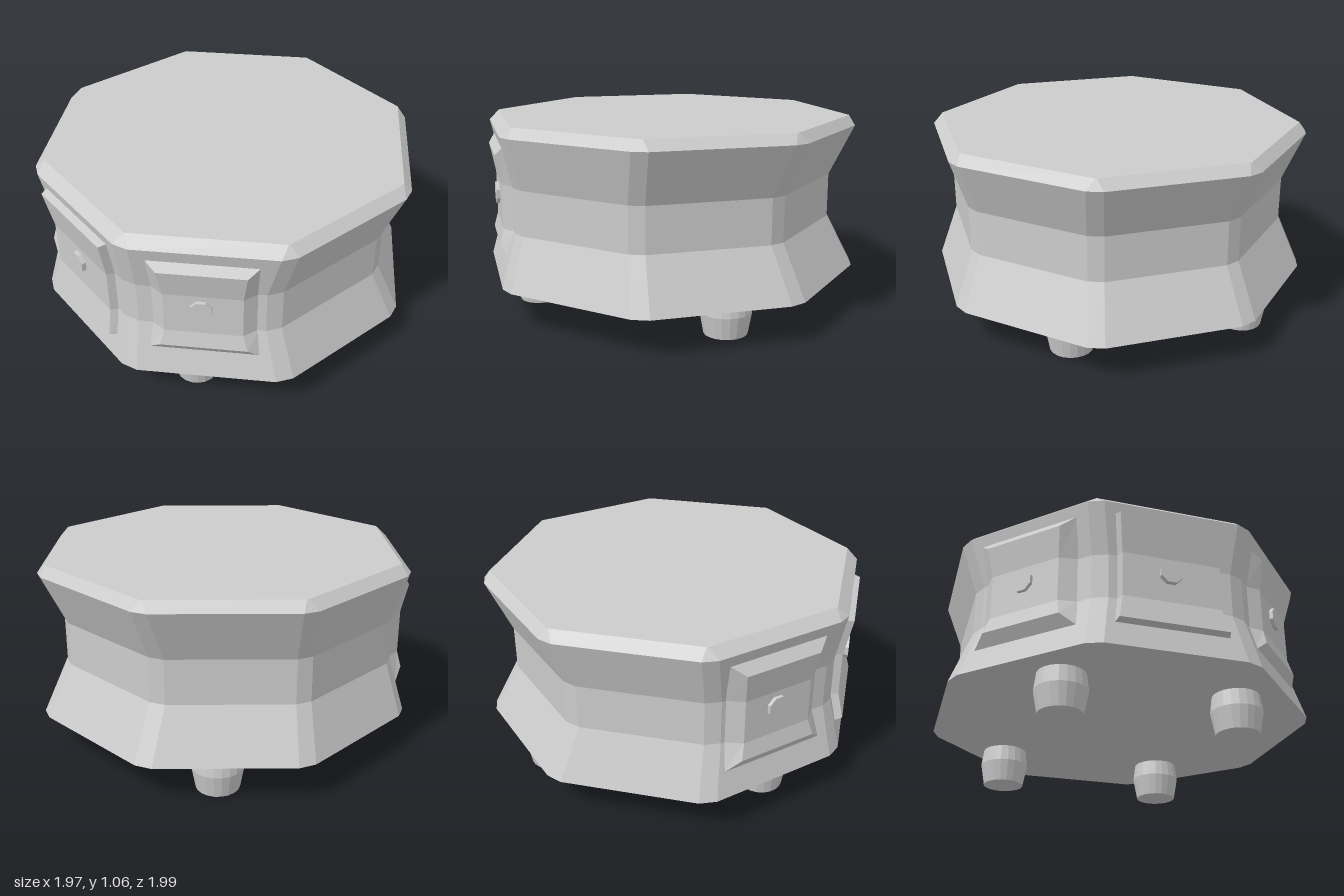
import * as THREE from 'three';

const material = new THREE.MeshStandardMaterial({ color: 0xcccccc, flatShading: true });

function faceted(points, index) {
  const indexed = new THREE.BufferGeometry();
  indexed.setAttribute('position', new THREE.Float32BufferAttribute(points.flat(), 3));
  indexed.setIndex(index);
  const geometry = indexed.toNonIndexed();
  geometry.computeVertexNormals();
  return geometry;
}

function addMesh(parent, name, geometry) {
  const mesh = new THREE.Mesh(geometry, material);
  mesh.name = name;
  parent.add(mesh);
  return mesh;
}

const quad = (a, b, c, d) => [a, b, c, a, c, d];

// Octagon with cut corners: two points per corner, starting at the front face
function octagonRing({ y, apothem, z, cut }) {
  const half = apothem * Math.tan(Math.PI / 8) - cut;
  const ring = [];
  for (let i = 0; i < 8; i++) {
    const angle = (i * Math.PI) / 4;
    const s = Math.sin(angle), c = Math.cos(angle);
    for (const t of [-half, half]) {
      ring.push([apothem * s + t * c, y, apothem * c - t * s + z]);
    }
  }
  return ring;
}

// Waisted octagonal body with a bevelled top edge
function bodyGeometry() {
  const rings = [
    { y: 0.21, apothem: 0.987, z: -0.007, cut: 0.05 },
    { y: 0.49, apothem: 0.882, z: 0.03, cut: 0.045 },
    { y: 0.73, apothem: 0.882, z: 0.03, cut: 0.045 },
    { y: 1.005, apothem: 0.971, z: -0.007, cut: 0.045 },
    { y: 1.057, apothem: 0.92, z: -0.015, cut: 0.004 },
  ];
  const points = rings.flatMap(octagonRing);
  const n = 16, last = (rings.length - 1) * n;
  const bottom = points.push([0, 0.21, 0]) - 1;
  const top = points.push([0, 1.057, 0]) - 1;
  const index = [];
  for (let i = 0; i < n; i++) {
    const j = (i + 1) % n;
    for (let r = 0; r < last; r += n) index.push(...quad(r + i, r + j, r + n + j, r + n + i));
    index.push(top, last + i, last + j, bottom, j, i);
  }
  return faceted(points, index);
}

// Raised plate that follows the waist, with bevelled borders
function panelGeometry(inset, rise, frontY) {
  const baseY = [0.34, 0.49, 0.73, 0.95];
  const halfWidth = [0.295, 0.272, 0.272, 0.292];
  const depth = (y) =>
    y < 0.49 ? 0.91 + (0.49 - y) * 0.25 : y > 0.73 ? 0.91 + (y - 0.73) * 0.195 : 0.91;
  const points = [], index = [];
  for (let row = 0; row < 6; row++) {
    const k = Math.min(Math.max(row - 1, 0), 3);
    for (let col = 0; col < 4; col++) {
      const side = col < 2 ? -1 : 1;
      const border = row === 0 || row === 5 || col === 0 || col === 3;
      points.push(border
        ? [side * halfWidth[k], baseY[k], depth(baseY[k]) - 0.01]
        : [side * (halfWidth[k] - inset), frontY[k], depth(frontY[k]) + rise]);
      const corner = (row === 0 || row === 4) && (col === 0 || col === 2);
      if (row < 5 && col < 3 && !corner) {
        const a = row * 4 + col;
        index.push(...quad(a, a + 1, a + 5, a + 4));
      }
    }
  }
  return faceted(points, index);
}

export function createModel() {
  const model = new THREE.Group();
  model.name = 'octagonalBox';
  addMesh(model, 'body', bodyGeometry());

  // Three front panels, each with a small eight-sided stud
  const studGeometry = new THREE.CylinderGeometry(0.06, 0.06, 0.06, 8);
  studGeometry.rotateY(Math.PI / 8).rotateX(Math.PI / 2);
  const wide = panelGeometry(0.018, 0.042, [0.355, 0.49, 0.73, 0.937]);
  const bevelled = panelGeometry(0.075, 0.048, [0.405, 0.49, 0.73, 0.89]);
  const panels = [
    ['rightPanel', -Math.PI / 4, bevelled],
    ['frontPanel', 0, wide],
    ['leftPanel', Math.PI / 4, bevelled],
  ];
  for (const [name, angle, geometry] of panels) {
    const panel = new THREE.Group();
    panel.name = name;
    panel.rotation.y = angle;
    panel.position.x = -0.008;
    addMesh(panel, 'plate', geometry);
    addMesh(panel, 'stud', studGeometry).position.set(-0.008, 0.645, 0.947);
    model.add(panel);
  }

  // Four tapered round feet
  const profile = [[0, 0], [0.115, 0], [0.137, 0.12], [0.125, 0.215]];
  const footGeometry = new THREE.LatheGeometry(profile.map(([r, y]) => new THREE.Vector2(r, y)), 20);
  const feet = [
    ['frontRightFoot', -0.462, 0.585],
    ['frontLeftFoot', 0.468, 0.575],
    ['backRightFoot', -0.535, -0.595],
    ['backLeftFoot', 0.427, -0.59],
  ];
  for (const [name, x, z] of feet) addMesh(model, name, footGeometry).position.set(x, 0, z);

  return model;
}
